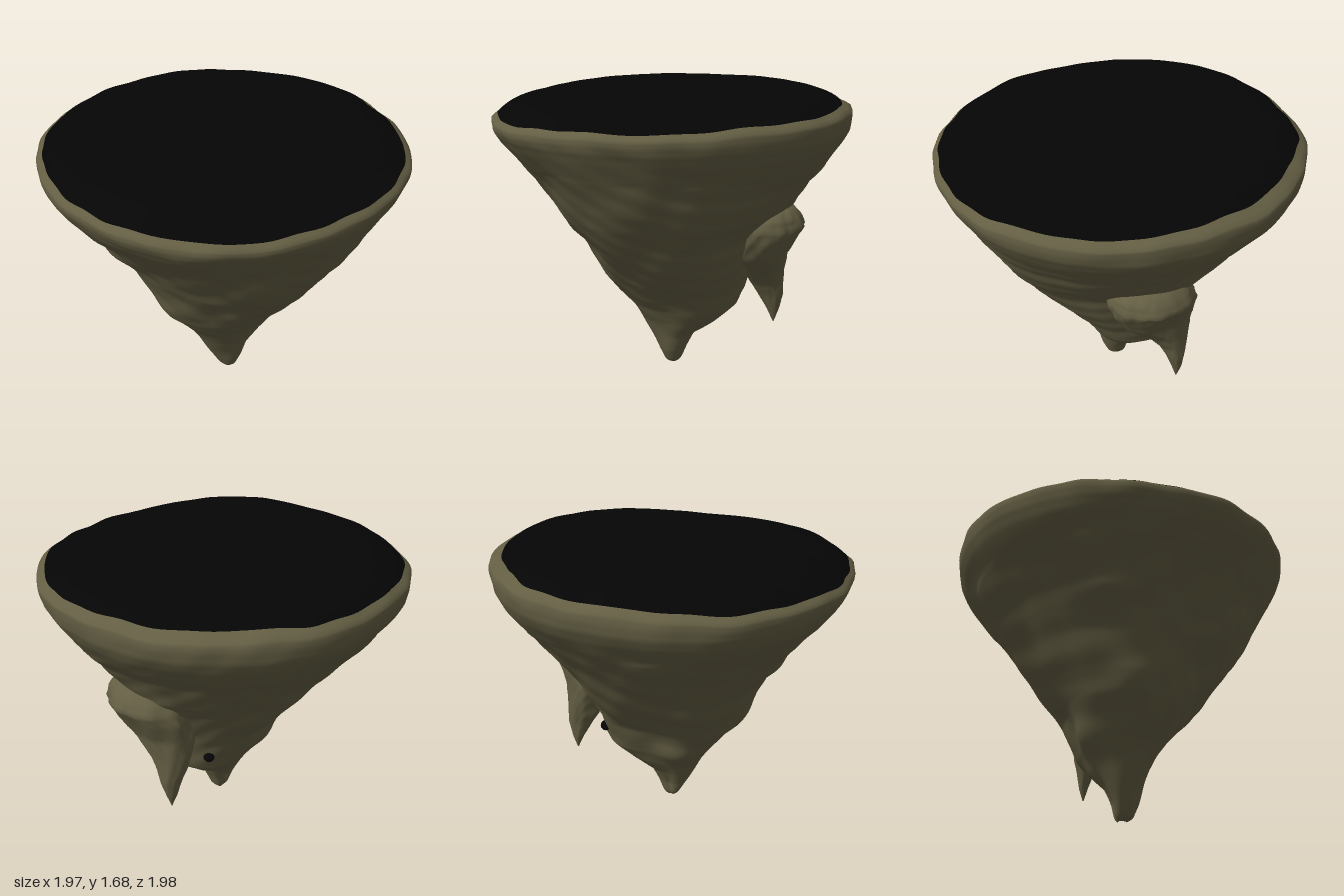
import * as THREE from 'three';

// Radii of the rock toward +x, -x, +z and -z at each height
const PROFILE = [
  [0.0, 0.04, 0.0, 0.02, 0.02], [0.02, 0.075, 0.02, 0.045, 0.045], [0.1, 0.11, 0.03, 0.09, 0.08],
  [0.2, 0.135, 0.085, 0.145, 0.13], [0.3, 0.165, 0.16, 0.2, 0.27], [0.4, 0.215, 0.22, 0.26, 0.38],
  [0.5, 0.295, 0.26, 0.34, 0.42], [0.6, 0.39, 0.31, 0.425, 0.45], [0.7, 0.475, 0.4, 0.48, 0.48],
  [0.8, 0.56, 0.48, 0.525, 0.52], [0.9, 0.64, 0.55, 0.57, 0.57], [1.0, 0.715, 0.62, 0.63, 0.66],
  [1.1, 0.775, 0.7, 0.7, 0.72], [1.2, 0.825, 0.79, 0.78, 0.78], [1.3, 0.88, 0.87, 0.87, 0.87],
  [1.4, 0.94, 0.945, 0.95, 0.94], [1.46, 0.97, 0.98, 0.98, 0.975], [1.51, 0.985, 0.99, 0.995, 0.985],
  [1.55, 0.985, 0.985, 0.995, 0.985], [1.575, 0.955, 0.945, 0.965, 0.935],
];
// Ledges and hollows: angle, height, depth, angular width, vertical width
const DENTS = [
  [2.5, 1.0, 0.035, 0.35, 0.9], [0.88, 1.5, 0.02, 0.3, 0.15], [2.55, 0.42, 0.03, 0.4, 0.1],
  [1.75, 0.85, -0.025, 0.22, 0.14], [1.8, 1.07, 0.012, 0.3, 0.05], [0.95, 0.92, 0.015, 0.3, 0.06],
  [0.8, 0.8, -0.015, 0.25, 0.08], [2.3, 1.2, -0.015, 0.25, 0.07], [5.4, 0.95, -0.015, 0.3, 0.12],
  [3.7, 0.95, 0.02, 0.3, 0.25], [4.1, 1.58, -0.03, 0.45, 0.03],
];
// Spur cross-sections: y, centre x, centre z, half width, half depth
const SPUR = [
  [0.28, -0.12, -0.585, 0.003, 0.003], [0.36, -0.12, -0.58, 0.028, 0.035], [0.46, -0.11, -0.565, 0.055, 0.075],
  [0.54, -0.1, -0.54, 0.085, 0.1], [0.62, -0.07, -0.53, 0.13, 0.115], [0.75, 0.0, -0.52, 0.21, 0.15],
  [0.87, 0.03, -0.55, 0.24, 0.18], [0.94, 0.05, -0.57, 0.235, 0.2], [1.0, 0.06, -0.56, 0.21, 0.185],
  [1.05, 0.06, -0.56, 0.14, 0.14], [1.08, 0.06, -0.56, 0.005, 0.005],
];

// Linear lookup in a table keyed by its first column
function sample(table, y) {
  let i = 0;
  while (i < table.length - 2 && y > table[i + 1][0]) i++;
  const t = (y - table[i][0]) / (table[i + 1][0] - table[i][0]);
  return table[i].map((v, k) => THREE.MathUtils.lerp(v, table[i + 1][k], t));
}

const rough = (x, y, z) =>
  0.5 * Math.sin(7 * x + 4 * y + 2) * Math.sin(6 * z - 5 * y) +
  0.35 * Math.sin(13 * x - 9 * y + 1) * Math.cos(12 * z + 11 * y) +
  0.2 * Math.sin(23 * x + 17 * y) * Math.sin(21 * z - 19 * y + 2);

// Smooth closed surface through rings of points
function loft(rows, cols, point) {
  const pos = [], index = [];
  for (let i = 0; i <= rows; i++)
    for (let j = 0; j < cols; j++) pos.push(...point(i / rows, (j / cols) * Math.PI * 2));
  for (let i = 0; i < rows; i++)
    for (let j = 0; j < cols; j++) {
      const a = i * cols + j, b = i * cols + ((j + 1) % cols);
      index.push(a, a + cols, b, b, a + cols, b + cols);
    }
  const g = new THREE.BufferGeometry();
  g.setAttribute('position', new THREE.Float32BufferAttribute(pos, 3));
  g.setIndex(index);
  g.computeVertexNormals();
  return g;
}

function rockPoint(t, a) {
  const y = 1.575 * t, c = Math.cos(a), s = Math.sin(a);
  const [, px, nx, pz, nz] = sample(PROFILE, y);
  let r = c * c * (c > 0 ? px : nx) + s * s * (s > 0 ? pz : nz);
  const fade = Math.min(1, y / 0.5);
  r += 0.022 * fade * (y > 1.3 ? 0.5 : 1) * rough(c * r, y, s * r);
  for (const [da, dy, d, wa, wy] of DENTS) {
    const turn = Math.atan2(Math.sin(a - da), Math.cos(a - da));
    r += fade * d * Math.exp(-((turn / wa) ** 2) - ((y - dy) / wy) ** 2);
  }
  // Uneven rim, higher at the back
  const rim = THREE.MathUtils.smoothstep(y, 1.4, 1.575);
  const lift = rim * (-0.022 * c - 0.028 * s + 0.005 * Math.sin(7 * a) + 0.003 * Math.sin(17 * a));
  r += rim * (0.002 * Math.sin(11 * a) + 0.003 * Math.sin(23 * a + 1));
  return [c * r, y + lift, s * r];
}

// Nearly flat ground that slopes down toward the front and the left
function turfPoint(t, a) {
  const [x, y, z] = rockPoint(1, a), k = 1 - t;
  const dome = 1.677 - 0.13 * Math.max(0, x * k) ** 3 - 0.05 * Math.max(0, z * k) ** 3;
  const rise = 1 - Math.pow(k, 11);
  const ripple = 0.005 * rise * k * rough(x * k, 0, z * k);
  return [x * k, y + (dome - y) * rise + ripple, z * k];
}

function spurPoint(t, a) {
  const [y, cx, cz, w, d] = sample(SPUR, 0.28 + 0.8 * t);
  const c = Math.cos(a), s = Math.sin(a);
  const k = 1 + 0.08 * rough(c, 2 * y, s);
  return [cx + c * w * k, y, cz + s * d * k];
}

export function createModel() {
  const group = new THREE.Group();
  const stone = new THREE.MeshStandardMaterial({ color: 0x635e43 });
  stone.name = 'olive stone';
  const dark = new THREE.MeshStandardMaterial({ color: 0x050505 });
  dark.name = 'black ground';

  const add = (name, geometry, material) => {
    const mesh = new THREE.Mesh(geometry, material);
    mesh.name = name;
    group.add(mesh);
    return mesh;
  };
  add('rockCone', loft(110, 144, rockPoint), stone);
  add('groundTop', loft(40, 144, turfPoint), dark);
  add('hangingSpur', loft(40, 48, spurPoint), stone);

  // Small dark hollow in the rock behind the spur
  const hollow = add('hollow', new THREE.SphereGeometry(0.032, 12, 8), dark);
  hollow.position.set(...rockPoint(0.52 / 1.575, Math.atan2(-0.32, -0.18)));
  return group;
}
